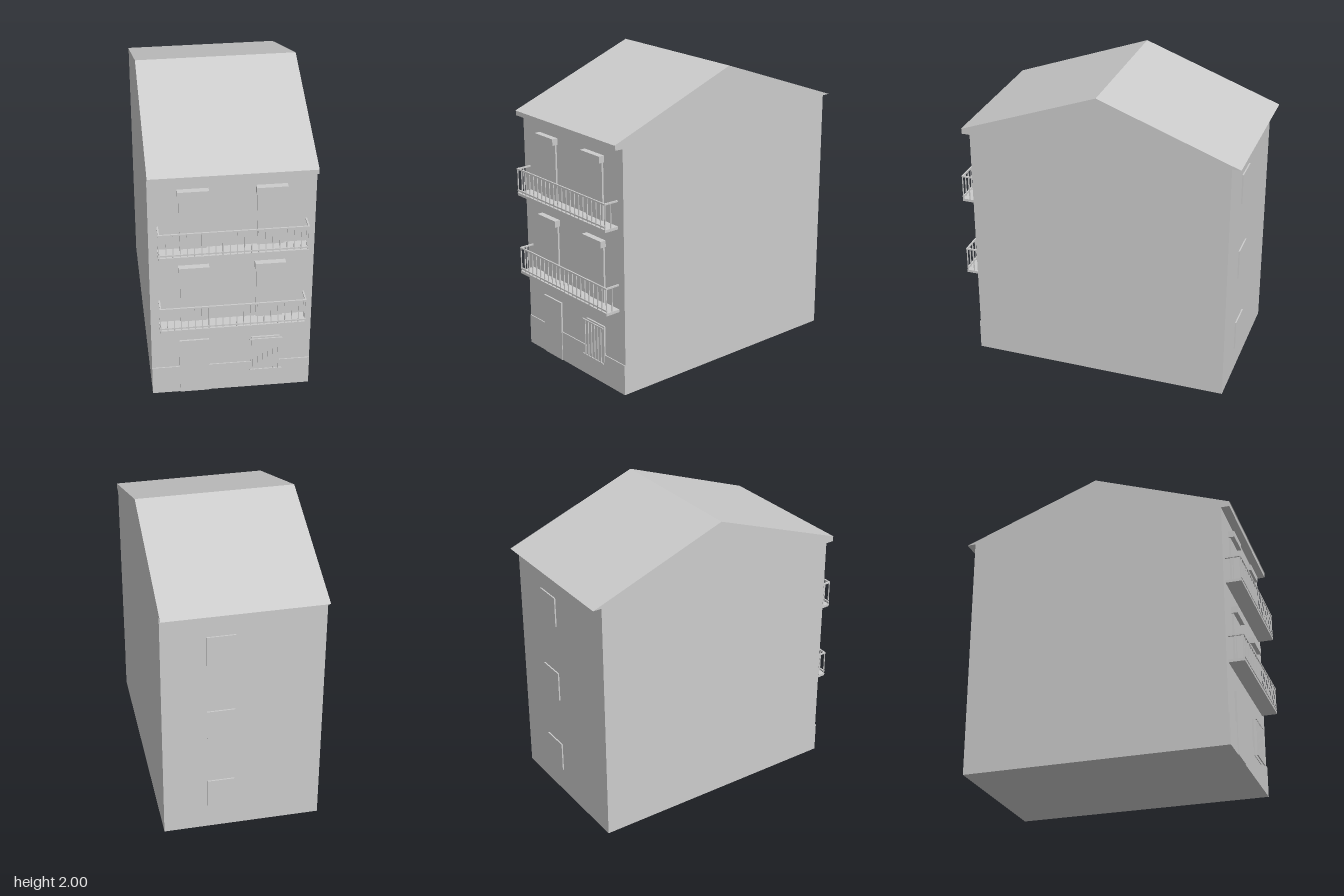
import * as THREE from 'three';

export function createModel() {
  const house = new THREE.Group();
  house.name = 'townhouse';
  const plaster = new THREE.MeshStandardMaterial({ color: 0xcccccc });
  plaster.name = 'plaster grey';

  // Box given by its limits on each axis
  function box(name, x0, x1, y0, y1, z0, z1, parent = house) {
    const mesh = new THREE.Mesh(new THREE.BoxGeometry(x1 - x0, y1 - y0, z1 - z0), plaster);
    mesh.position.set((x0 + x1) / 2, (y0 + y1) / 2, (z0 + z1) / 2);
    mesh.name = name;
    parent.add(mesh);
    return mesh;
  }

  const W = 0.516, FRONT = 0.84, BACK = -0.885, EAVE = 1.66;

  // Walls, and a gabled roof overhanging front and back
  box('walls', -W, W, 0, EAVE, BACK, FRONT);
  const gable = new THREE.Shape([
    new THREE.Vector2(-0.9, EAVE),
    new THREE.Vector2(0.943, EAVE),
    new THREE.Vector2(0.018, 2),
  ]);
  const roofGeometry = new THREE.ExtrudeGeometry(gable, { depth: 2 * W, bevelEnabled: false });
  roofGeometry.translate(0, 0, -W).rotateY(Math.PI / 2);
  const roof = new THREE.Mesh(roofGeometry, plaster);
  roof.name = 'roof';
  house.add(roof);
  box('cornice', -W, W, 1.627, EAVE, FRONT, 0.895);

  // Plinth, front door and ground floor window
  box('plinth', -W, W, 0, 0.205, FRONT, 0.847);
  box('frontDoor', -0.336, -0.145, 0, 0.415, FRONT, 0.852);
  box('groundWindow', 0.13, 0.315, 0.155, 0.405, FRONT, 0.851);

  // Window grille
  const grille = new THREE.Group();
  grille.name = 'windowGrille';
  house.add(grille);
  for (const y of [0.151, 0.398]) box('grilleRail', 0.117, 0.328, y, y + 0.008, 0.866, 0.874, grille);
  for (let i = 0; i < 6; i++) {
    const x = 0.142 + i * 0.0325;
    box('grilleBar', x - 0.003, x + 0.003, 0.155, 0.402, 0.867, 0.873, grille);
  }

  // Upper floors: balcony doors with lintels behind a railed balcony
  for (const y of [0.555, 1.105]) {
    const floor = new THREE.Group();
    floor.name = 'balconyFloor';
    house.add(floor);
    for (const side of [-1, 1]) {
      const x = side * 0.24;
      box('balconyDoor', x - 0.085, x + 0.085, y + 0.018, y + 0.397, FRONT, 0.852, floor);
      box('lintel', x - 0.096, x + 0.096, y + 0.397, y + 0.44, FRONT, 0.88, floor);
    }
    const B = 0.463, Z = 0.943;
    box('balconySlab', -B, B, y, y + 0.018, FRONT, Z, floor);
    box('bottomRail', -B, B, y + 0.029, y + 0.039, Z - 0.01, Z, floor);
    box('topRail', -B, B, y + 0.176, y + 0.186, Z - 0.01, Z, floor);
    for (let i = 0; i < 22; i++) {
      const x = -0.459 + (i * 0.918) / 21;
      box('baluster', x - 0.003, x + 0.003, y + 0.018, y + 0.18, Z - 0.008, Z - 0.002, floor);
    }
    for (const side of [-1, 1]) {
      const x = side * (B - 0.005);
      box('sideRail', x - 0.005, x + 0.005, y + 0.176, y + 0.186, FRONT, Z - 0.01, floor);
      box('sideBaluster', x - 0.003, x + 0.003, y + 0.018, y + 0.18, 0.89, 0.896, floor);
    }
  }

  // Small windows up the back wall
  for (const y of [0.175, 0.727, 1.279]) {
    box('backWindow', 0.05, 0.23, y, y + 0.205, BACK - 0.009, BACK);
  }
  return house;
}
